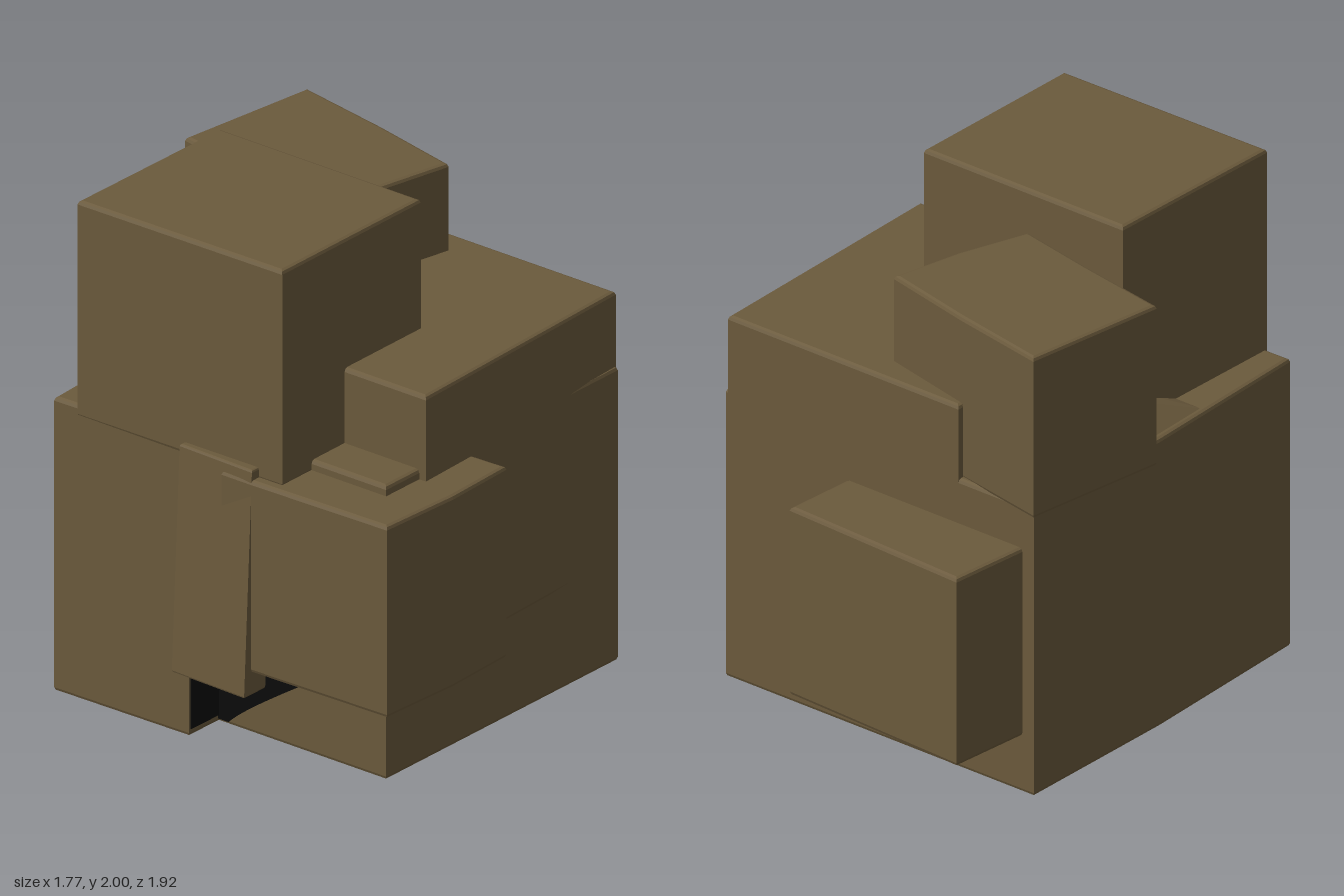
import * as THREE from 'three';
import { ConvexGeometry } from 'three/addons/geometries/ConvexGeometry.js';

export function createModel() {
  const model = new THREE.Group();
  const stone = new THREE.MeshStandardMaterial({ color: 0x6b5a3c });
  stone.name = 'brown stone';
  const hollow = new THREE.MeshStandardMaterial({ color: 0x0a0a0a });
  hollow.name = 'dark hollow';

  const add = (name, geometry, material) => {
    const mesh = new THREE.Mesh(geometry, material);
    mesh.name = name;
    model.add(mesh);
    return mesh;
  };

  // Upright block with softened rims, from a footprint of [x, z] corners
  const block = (name, corners, y0, y1, bevel = 0.015) => {
    const shape = new THREE.Shape(corners.map(([x, z]) => new THREE.Vector2(x, -z)));
    const geometry = new THREE.ExtrudeGeometry(shape, {
      depth: y1 - y0 - 2 * bevel,
      bevelThickness: bevel, bevelSize: bevel, bevelOffset: -bevel, bevelSegments: 2,
    });
    geometry.rotateX(-Math.PI / 2).translate(0, y0 + bevel, 0);
    return add(name, geometry, stone);
  };

  // Central mass: stepped base and the taller core
  block('base', [[-0.78, -0.62], [0.69, -0.62], [0.7, 0.71], [-0.09, 0.71],
    [-0.09, 0.88], [-0.72, 0.89], [-0.77, 0.1]], 0, 1.18);
  block('core', [[-0.42, -0.62], [0.68, -0.62], [0.73, 0.52], [-0.42, 0.52]], 0.4, 1.48);

  // Blocks jutting out of the mass
  block('topBlock', [[-0.61, 0.08], [0.34, 0.08], [0.35, 0.88], [-0.61, 0.89]], 1.13, 2);
  block('tiltedBlock', [[-0.82, -0.67], [-0.4, -0.59], [-0.01, -0.5], [-0.07, -0.2],
    [-0.16, 0.08], [-0.5, 0.01], [-0.89, -0.06]], 1.17, 1.83);
  block('backBlock', [[-0.7, -0.96], [0.13, -0.92], [0.11, -0.55], [-0.73, -0.55]], 0.23, 1);
  block('sideBlock', [[0.1, 0.26], [0.87, 0.23], [0.885, 0.55], [0.87, 0.91], [0.24, 0.925],
    [0.1, 0.925]], 0.37, 1.14);

  // Leaning front slab, its lower edge further out
  const slab = block('frontSlab', [[-0.11, 0.82], [0.24, 0.82], [0.24, 0.94], [-0.11, 0.93]], 0.28, 1.18, 0.008);
  const p = slab.geometry.attributes.position;
  for (let i = 0; i < p.count; i++) p.setZ(i, p.getZ(i) + 0.025 - 0.045 * (p.getY(i) - 0.28) / 0.9);
  slab.geometry.computeVertexNormals();

  // Low ramp between the tilted block and the top block
  const ramp = [[-0.74, 1.17, 0.4], [-0.6, 1.17, 0.4], [-0.77, 1.17, -0.1], [-0.4, 1.17, -0.1],
    [-0.6, 1.28, 0.1], [-0.4, 1.3, -0.05], [-0.4, 1.3, 0.1]];
  add('ramp', new ConvexGeometry(ramp.map((v) => new THREE.Vector3(...v))), stone);

  // Dark opening beneath the front slab
  const opening = new THREE.Shape();
  opening.moveTo(-0.09, 0.015);
  opening.lineTo(-0.04, 0.015);
  opening.quadraticCurveTo(0.02, 0.08, 0.3, 0.26);
  opening.quadraticCurveTo(0.6, 0.29, 0.68, 0.375);
  opening.lineTo(-0.09, 0.375);
  add('frontOpening', new THREE.ShapeGeometry(opening), hollow).position.z = 0.716;
  const side = add('sideOpening', new THREE.BoxGeometry(0.006, 0.34, 0.16), hollow);
  side.position.set(-0.088, 0.2, 0.793);

  // Dark opening under the back block
  const under = add('backOpening', new THREE.CircleGeometry(1, 32), hollow);
  under.scale.set(0.34, 0.11, 1);
  under.rotation.x = Math.PI / 2;
  under.position.set(-0.3, 0.226, -0.75);

  return model;
}
